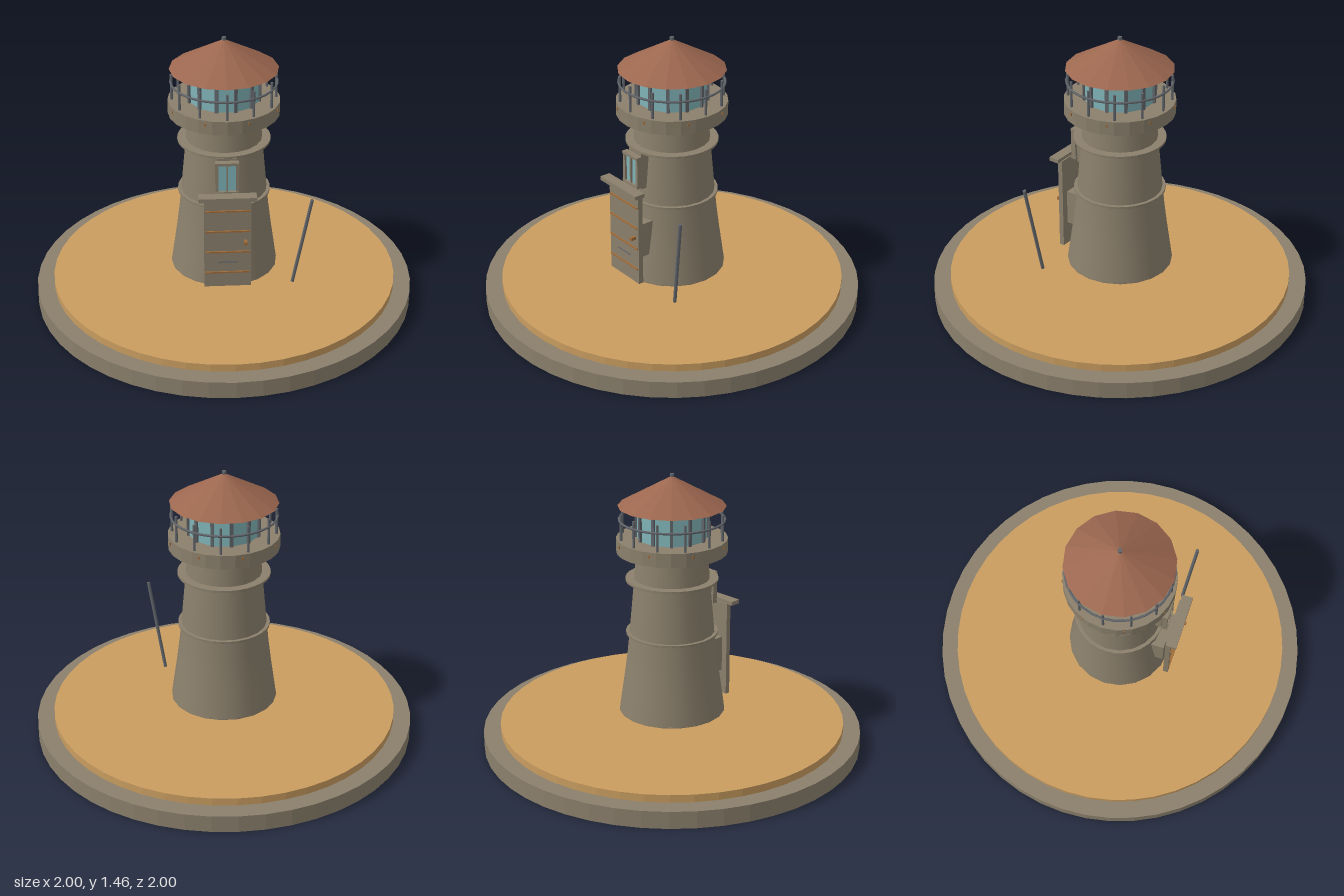
import * as THREE from 'three';

const mat = (name, color, flat = false) => {
  const m = new THREE.MeshStandardMaterial({ color, flatShading: flat });
  m.name = name;
  return m;
};

export function createModel() {
  const root = new THREE.Group();
  root.name = 'lighthouse';
  const stone = mat('stone', 0x8b806c, true);
  const plaster = mat('plaster', 0x8b806c);
  const sand = mat('sand', 0xc99d60, true);
  const roofTile = mat('roofTile', 0x9c674f, true);
  const glass = mat('glass', 0x80b4b8, true);
  const metal = mat('metal', 0x62666b);
  const wood = mat('wood', 0xa06c38);

  const add = (name, geo, material, x = 0, y = 0, z = 0, parent = root) => {
    const mesh = new THREE.Mesh(geo, material);
    mesh.name = name;
    mesh.position.set(x, y, z);
    parent.add(mesh);
    return mesh;
  };
  // Box and drum given by their limits
  const box = (name, m, x0, x1, y0, y1, z0, z1) =>
    add(name, new THREE.BoxGeometry(x1 - x0, y1 - y0, z1 - z0), m, (x0 + x1) / 2, (y0 + y1) / 2, (z0 + z1) / 2);
  const drum = (name, m, r, y0, y1, sides, rTop = r) =>
    add(name, new THREE.CylinderGeometry(rTop, r, y1 - y0, sides), m, 0, (y0 + y1) / 2, 0);
  // Rod between two points
  const rod = (name, m, a, b, r) => {
    const d = b.clone().sub(a);
    const mesh = add(name, new THREE.CylinderGeometry(r, r, d.length(), 8), m);
    mesh.position.copy(a).addScaledVector(d, 0.5);
    mesh.quaternion.setFromUnitVectors(new THREE.Vector3(0, 1, 0), d.normalize());
    return mesh;
  };
  const ring = (count, offset, radius, fn) => {
    for (let i = 0; i < count; i++) {
      const a = ((i + offset) / count) * Math.PI * 2;
      fn(Math.sin(a) * radius, Math.cos(a) * radius, a);
    }
  };

  // Ground plinth
  drum('plinth', stone, 1, 0, 0.09, 48);
  drum('sandGround', sand, 0.91, 0.09, 0.13, 48);

  // Tapering tower with end caps
  const profile = [[0.28, 0.18], [0.264, 0.29], [0.248, 0.4], [0.234, 0.51], [0.222, 0.63],
    [0.209, 0.77], [0.197, 0.9], [0.185, 1.04]].map(([r, y]) => new THREE.Vector2(r, y));
  add('tower', new THREE.LatheGeometry(profile, 20), plaster);
  drum('towerTop', stone, 0.185, 1.036, 1.04, 20);
  drum('towerBottom', stone, 0.28, 0.178, 0.182, 20);
  for (const y of [0.613, 0.903]) drum('towerBand', stone, 0.24, y - 0.006, y + 0.006, 32);

  // Gallery deck and railing
  drum('galleryDeck', stone, 0.286, 1.05, 1.123, 24);
  ring(12, 0, 0.265, (x, z) => {
    add('railingPost', new THREE.CylinderGeometry(0.007, 0.007, 0.14, 8), metal, x, 1.19, z);
  });
  const rail = add('railing', new THREE.TorusGeometry(0.27, 0.006, 6, 32), metal, 0, 1.22, 0);
  rail.rotation.x = Math.PI / 2;
  ring(8, 0.5, 0.284, (x, z, a) => {
    add('deckBolt', new THREE.BoxGeometry(0.008, 0.014, 0.008), wood, x, 1.1, z).rotation.y = a;
  });

  // Glazed lantern room
  drum('lanternGlass', glass, 0.18, 1.12, 1.29, 12).rotation.y = Math.PI / 12;
  ring(12, 0.5, 0.183, (x, z, a) => {
    add('lanternMullion', new THREE.BoxGeometry(0.016, 0.17, 0.014), metal, x, 1.205, z).rotation.y = a;
  });

  // Conical roof and finial
  add('roof', new THREE.ConeGeometry(0.277, 0.155, 16), roofTile, 0, 1.367, 0);
  drum('finial', metal, 0.011, 1.43, 1.455, 8);

  // Front door with boards, lintel and knob
  box('doorBacking', stone, -0.1, 0.1, 0.34, 0.53, 0.16, 0.275);
  box('door', stone, -0.12, 0.12, 0.2, 0.715, 0.288, 0.315);
  box('doorLintel', stone, -0.148, 0.145, 0.712, 0.733, 0.295, 0.352);
  for (const y of [0.285, 0.405, 0.525, 0.642]) box('doorStrip', wood, -0.113, 0.113, y - 0.004, y + 0.004, 0.314, 0.322);
  box('letterSlot', metal, -0.05, 0.05, 0.342, 0.348, 0.314, 0.318);
  box('doorKnob', wood, 0.083, 0.099, 0.457, 0.473, 0.314, 0.345);

  // Window above the door
  box('windowSurround', stone, -0.05, 0.05, 0.7, 0.9, 0.15, 0.24);
  box('windowGlass', glass, -0.045, 0.045, 0.725, 0.882, 0.25, 0.26);
  for (const x of [-0.052, 0, 0.052]) {
    const w = x === 0 ? 0.004 : 0.008;
    box('windowBar', stone, x - w, x + w, 0.72, 0.888, 0.245, 0.272);
  }
  for (const y of [0.722, 0.882]) box('windowRail', stone, -0.06, 0.06, y - 0.007, y + 0.007, 0.242, 0.275);

  // Leaning pole
  rod('leaningPole', metal, new THREE.Vector3(0.342, 0.18, 0.258), new THREE.Vector3(0.428, 0.68, 0.293), 0.009);

  return root;
}
